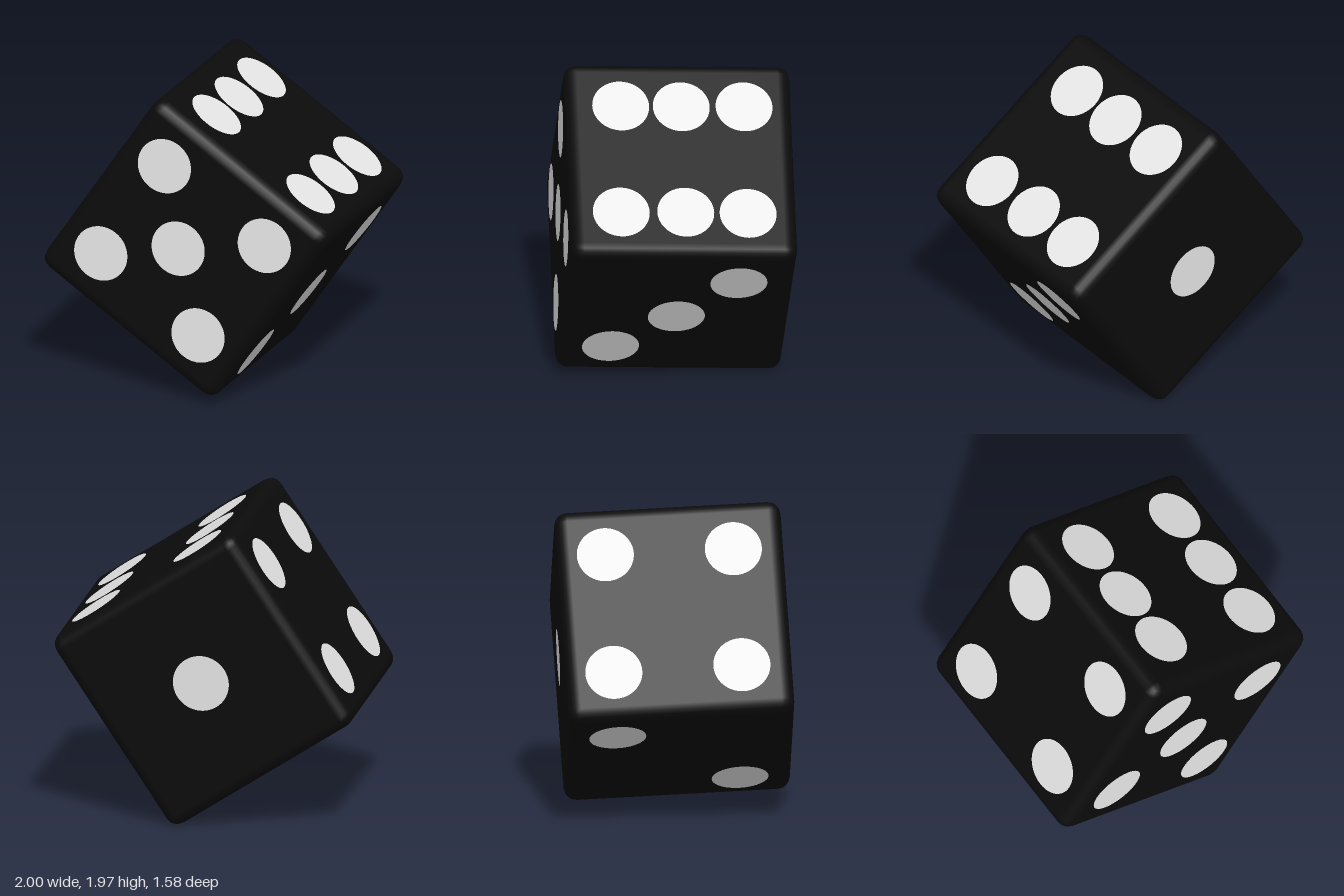
import * as THREE from 'three';
import { RoundedBoxGeometry } from 'three/addons/geometries/RoundedBoxGeometry.js';

const black = new THREE.MeshStandardMaterial({ name: 'black body', color: 0x0b0b0b });
const white = new THREE.MeshStandardMaterial({ name: 'off-white pips', color: 0xe7e7e7 });

const SIZE = new THREE.Vector3(1.416, 1.434, 1.43);
const PIP_RADIUS = 0.18;
const PIP_LIFT = 0.004;

// Pip centres per face, as [u, v] in the two remaining body axes (x before y before z).
const FACES = [
  { name: 'fivePips', axis: 'z', sign: 1, pips: [[-0.41, 0.385], [0.4, 0.395], [-0.41, -0.38], [0.395, -0.395], [-0.031, -0.007]] },
  { name: 'onePip', axis: 'z', sign: -1, pips: [[0, 0]] },
  { name: 'sixPips', axis: 'y', sign: 1, pips: [[-0.378, -0.413], [-0.375, -0.016], [-0.377, 0.367], [0.407, -0.408], [0.402, -0.014], [0.404, 0.394]] },
  { name: 'twoPips', axis: 'y', sign: -1, pips: [[-0.39, -0.4], [0.4, 0.39]] },
  { name: 'threePips', axis: 'x', sign: 1, pips: [[0.375, -0.365], [-0.033, -0.002], [-0.399, 0.385]] },
  { name: 'fourPips', axis: 'x', sign: -1, pips: [[-0.405, -0.411], [0.394, -0.41], [-0.401, 0.398], [0.387, 0.398]] },
];

export function createModel() {
  const model = new THREE.Group();
  model.name = 'die';

  // Tilted frame: the die balances on one corner
  const zAxis = new THREE.Vector3(0.078, 0.045, 0.996).normalize();
  const yAxis = new THREE.Vector3(0.543, 0.836, -0.08).normalize();
  const xAxis = new THREE.Vector3().crossVectors(yAxis, zAxis).normalize();
  yAxis.crossVectors(zAxis, xAxis);
  const tilted = new THREE.Group();
  tilted.name = 'tiltedDie';
  tilted.quaternion.setFromRotationMatrix(new THREE.Matrix4().makeBasis(xAxis, yAxis, zAxis));
  tilted.position.set(0, 0.985, 0).addScaledVector(xAxis, -0.012);
  model.add(tilted);

  // Rounded body
  const body = new THREE.Mesh(new RoundedBoxGeometry(SIZE.x, SIZE.y, SIZE.z, 2, 0.08), black);
  body.name = 'body';
  tilted.add(body);

  // Flat round pips on all six sides
  const disc = new THREE.CircleGeometry(PIP_RADIUS, 48);
  const front = new THREE.Vector3(0, 0, 1);
  for (const { name, axis, sign, pips } of FACES) {
    const face = new THREE.Group();
    face.name = name;
    const normal = new THREE.Vector3();
    normal[axis] = sign;
    const [uAxis, vAxis] = ['x', 'y', 'z'].filter((k) => k !== axis);
    for (const [u, v] of pips) {
      const pip = new THREE.Mesh(disc, white);
      pip.name = 'pip';
      pip.quaternion.setFromUnitVectors(front, normal);
      pip.position[axis] = sign * (SIZE[axis] / 2 + PIP_LIFT);
      pip.position[uAxis] = u;
      pip.position[vAxis] = v;
      face.add(pip);
    }
    tilted.add(face);
  }
  return model;
}
